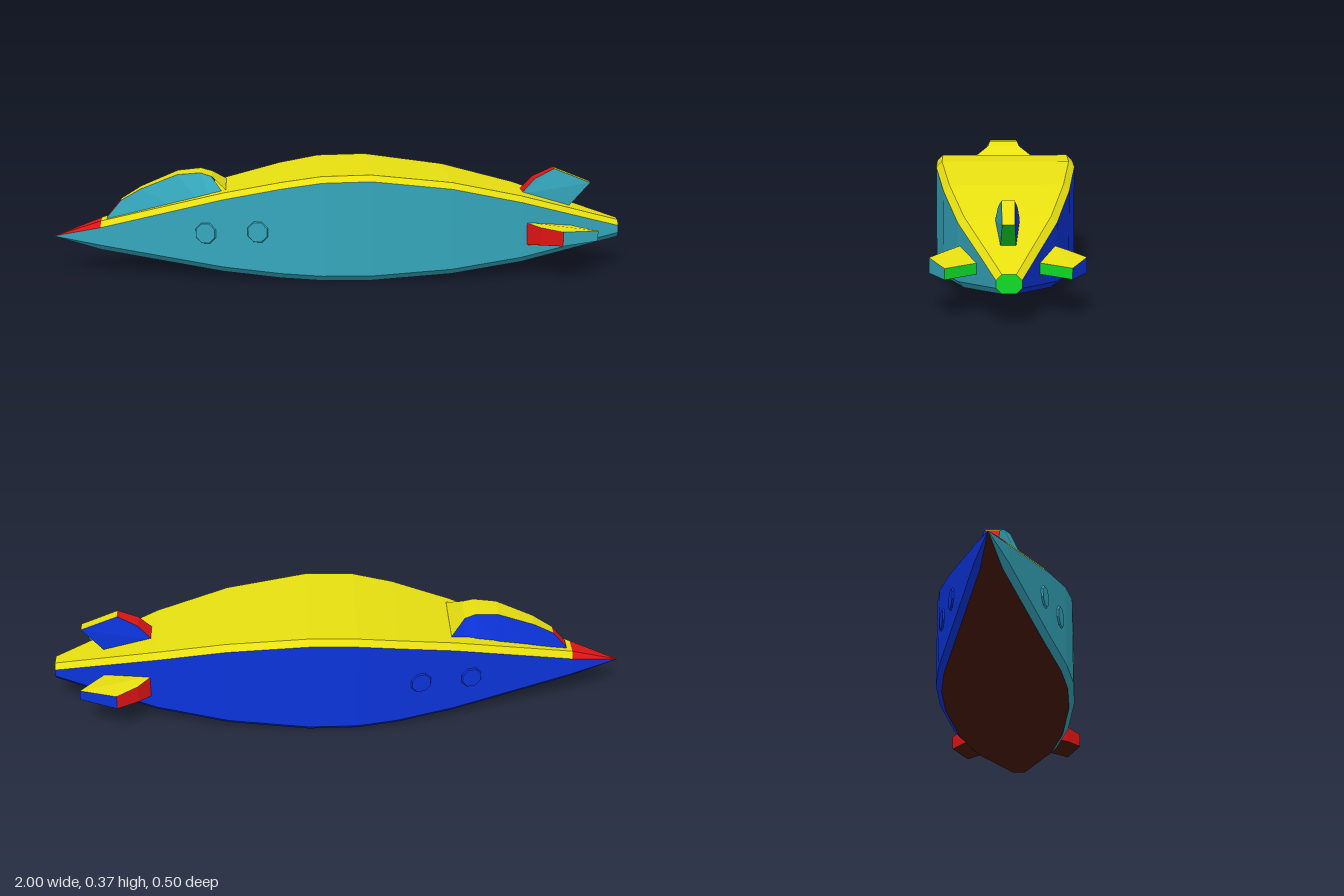
import * as THREE from 'three';

const YELLOW = 0xe8e010, TEAL = 0x35a8bd, BLUE = 0x0c34dc, RED = 0xe21414, GREEN = 0x10dc28, BROWN = 0x4a1a0a;
const materials = {};
const paint = (color) => (materials[color] ??= new THREE.MeshStandardMaterial({ color, flatShading: true }));

// Builds a convex faceted part from { color, pts } faces: one mesh per colour, wound outward from centre
function facetPart(name, centre, faces) {
  const group = new THREE.Group();
  group.name = name;
  const byColor = new Map();
  const c = new THREE.Vector3(...centre);
  for (const { color, pts } of faces) {
    if (!byColor.has(color)) byColor.set(color, []);
    const out = byColor.get(color);
    const v = pts.map((p) => new THREE.Vector3(...p));
    for (let i = 1; i < v.length - 1; i++) {
      const tri = [v[0], v[i], v[i + 1]];
      const n = tri[1].clone().sub(tri[0]).cross(tri[2].clone().sub(tri[0]));
      if (n.length() < 1e-9) continue;
      if (n.dot(tri[0].clone().sub(c)) < 0) tri.reverse();
      tri.forEach((p) => out.push(p.x, p.y, p.z));
    }
  }
  for (const [color, positions] of byColor) {
    const geo = new THREE.BufferGeometry();
    geo.setAttribute('position', new THREE.Float32BufferAttribute(positions, 3));
    geo.computeVertexNormals();
    const mesh = new THREE.Mesh(geo, paint(color));
    mesh.name = name + 'Panels';
    group.add(mesh);
  }
  return group;
}

// Skins consecutive rings of points; colorOf(station, side) picks each panel's colour
function loft(rings, colorOf) {
  const faces = [];
  for (let s = 0; s < rings.length - 1; s++) {
    const a = rings[s], b = rings[s + 1];
    a.forEach((p, i) => {
      const j = (i + 1) % a.length;
      faces.push({ color: colorOf(s, i), pts: [p, a[j], b[j], b[i]] });
    });
  }
  return faces;
}

// Hull: chamfered rectangles [x, bottom, top, half width, chamfer]
function hull() {
  const stations = [
    [-1, 0.12, 0.12, 0, 0], [-0.83, 0.077, 0.18, 0.055, 0.02], [-0.4, 0.021, 0.298, 0.17, 0.02],
    [-0.2, 0.007, 0.343, 0.22, 0.02], [-0.06, 0.001, 0.366, 0.24, 0.02], [0.11, 0, 0.37, 0.24, 0.02],
    [0.39, 0.014, 0.336, 0.21, 0.02], [0.64, 0.043, 0.277, 0.16, 0.02], [1, 0.105, 0.166, 0.04, 0.018],
  ];
  const rings = stations.map(([x, b, t, w, c]) => [
    [x, t, w - c], [x, t - c, w], [x, b + c, w], [x, b, w - c],
    [x, b, c - w], [x, b + c, -w], [x, t - c, -w], [x, t, c - w],
  ]);
  const sides = [YELLOW, TEAL, TEAL, BROWN, BLUE, BLUE, YELLOW, YELLOW];
  const faces = loft(rings, (s, i) => (s === 0 && sides[i] === YELLOW ? RED : sides[i]));
  faces.push({ color: GREEN, pts: rings.at(-1) });
  return facetPart('hull', [0, 0.16, 0], faces);
}

// Canopy: trapezoids [x, base y, base half width, top y, top half width]
function canopy() {
  const stations = [
    [-0.81, 0.17, 0.026, 0.19, 0.022], [-0.76, 0.18, 0.04, 0.25, 0.022], [-0.69, 0.2, 0.054, 0.292, 0.032],
    [-0.56, 0.235, 0.082, 0.345, 0.046], [-0.48, 0.255, 0.1, 0.352, 0.052],
    [-0.44, 0.265, 0.11, 0.34, 0.058], [-0.39, 0.28, 0.122, 0.302, 0.115],
  ];
  const rings = stations.map(([x, b, bw, t, tw]) => [[x, t, tw], [x, b, bw], [x, b, -bw], [x, t, -tw]]);
  const sides = [TEAL, BROWN, BLUE, YELLOW];
  const faces = loft(rings, (s, i) => (s === 0 && i === 3 ? RED : sides[i]));
  faces.push({ color: RED, pts: rings[0] }, { color: YELLOW, pts: rings.at(-1) });
  return facetPart('canopy', [-0.56, 0.27, 0], faces);
}

// Fin outline [x, outward reach, half thickness]; place() maps (x, reach, thickness) to space
function fin(name, outline, place, [outer, plus, minus]) {
  const a = outline.map(([x, u, h]) => place(x, u, h));
  const b = outline.map(([x, u, h]) => place(x, u, -h));
  const edges = [RED, RED, outer, GREEN, BROWN];
  const faces = [{ color: plus, pts: a }, { color: minus, pts: b }];
  a.forEach((p, i) => {
    const j = (i + 1) % a.length;
    faces.push({ color: edges[i], pts: [p, a[j], b[j], b[i]] });
  });
  return facetPart(name, place(0.77, outline[0][1], 0), faces);
}

export function createModel() {
  const model = new THREE.Group();
  model.name = 'spacecraft';
  model.add(hull(), canopy());

  // Tail fins
  const topOutline = [[0.65, 0.265, 0.04], [0.7, 0.318, 0.031], [0.77, 0.352, 0.021], [0.9, 0.3, 0.02], [0.82, 0.214, 0.025]];
  const sideOutline = [[0.65, 0.145, 0.04], [0.7, 0.2, 0.031], [0.77, 0.249, 0.025], [0.9, 0.198, 0.018], [0.82, 0.097, 0.018]];
  model.add(fin('topFin', topOutline, (x, u, h) => [x, u, h], [YELLOW, TEAL, BLUE]));
  for (const side of [1, -1]) {
    model.add(fin(side > 0 ? 'frontFin' : 'backFin', sideOutline,
      (x, u, h) => [x, 0.145 + h, side * u], [side > 0 ? TEAL : BLUE, YELLOW, BROWN]));

    // Portholes lying against the sloping hull sides
    for (const [x, y] of [[-0.46, 0.158], [-0.28, 0.17]]) {
      const z = x < -0.4 ? 0.154 : 0.2;
      const slope = Math.atan(x < -0.4 ? 0.267 : 0.25);
      const geo = new THREE.CylinderGeometry(0.036, 0.042, 0.012, 8);
      geo.rotateY(Math.PI / 8).rotateX(Math.PI / 2);
      const porthole = new THREE.Mesh(geo, paint(side > 0 ? TEAL : BLUE));
      porthole.name = 'porthole';
      porthole.position.set(x, y, side * z);
      porthole.rotation.y = side > 0 ? -slope : Math.PI + slope;
      model.add(porthole);
    }
  }
  return model;
}
